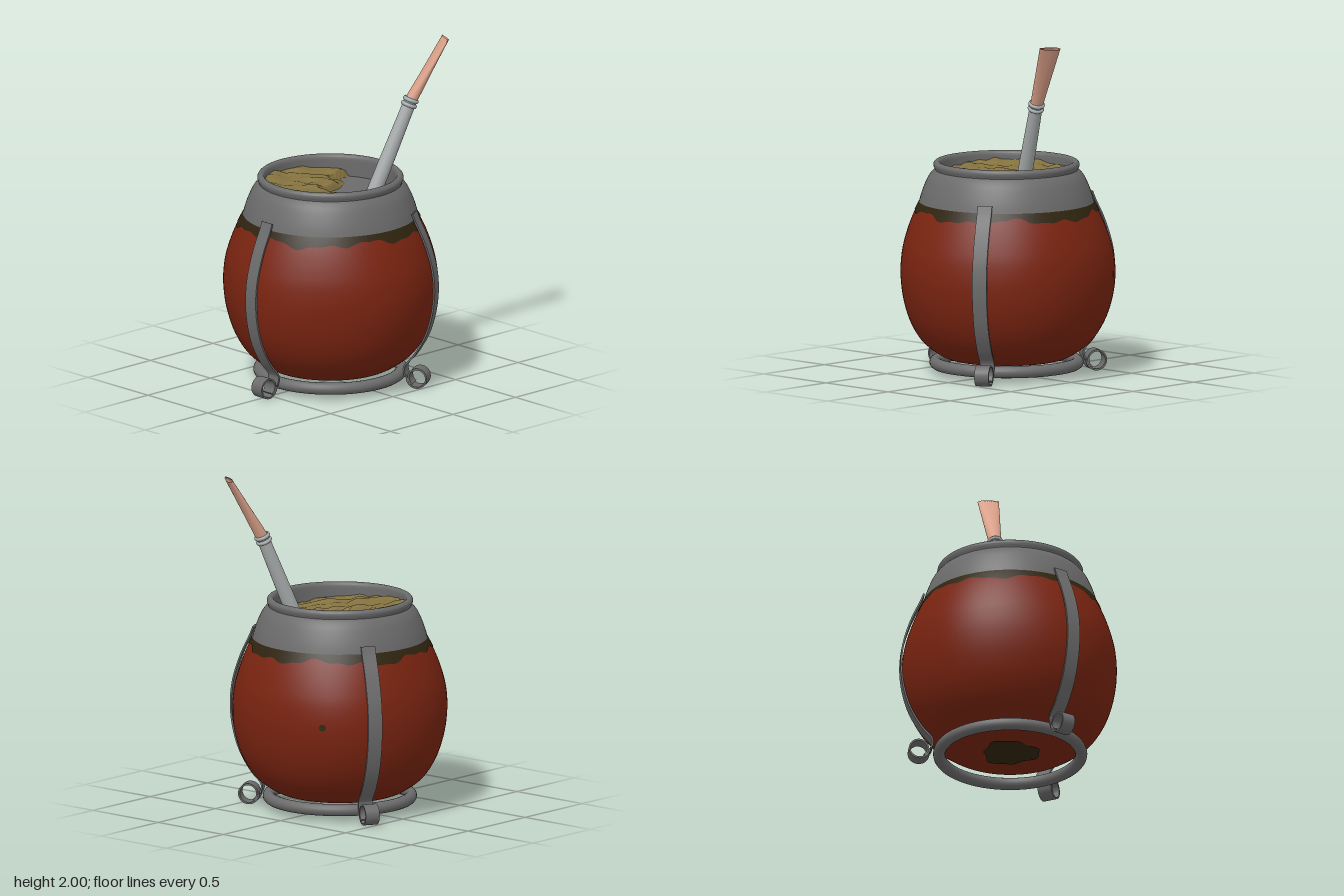
import * as THREE from 'three';
import { toCreasedNormals } from 'three/addons/utils/BufferGeometryUtils.js';
import { ParametricGeometry } from 'three/addons/geometries/ParametricGeometry.js';

const V2 = (x, y) => new THREE.Vector2(x, y);
const V3 = (x, y, z) => new THREE.Vector3(x, y, z);
const TAU = Math.PI * 2;
const mat = (name, color, side = THREE.FrontSide) => {
  const m = new THREE.MeshStandardMaterial({ color, side });
  m.name = name;
  return m;
};
const spline = (pts, n) => new THREE.SplineCurve(pts.map(p => V2(...p))).getPoints(n);

// Gourd outline (radius, height) from the underside to the neck
const outline = spline([[0.001, 0.085], [0.2, 0.085], [0.33, 0.095], [0.42, 0.14], [0.5, 0.21],
  [0.565, 0.32], [0.605, 0.45], [0.62, 0.58], [0.613, 0.7], [0.59, 0.8], [0.55, 0.91],
  [0.5, 1.01], [0.46, 1.06]], 72);

// Radius of the outline at a given height
function radiusAt(y) {
  const i = Math.max(1, outline.findIndex(p => p.x > 0.35 && p.y >= y));
  const a = outline[i - 1], b = outline[i];
  return a.x + (b.x - a.x) * (y - a.y) / (b.y - a.y);
}
// Slight natural unevenness of the shell
const lump = (t, y) => Math.sin(Math.PI * Math.min(1, Math.max(0, (y - 0.08) / 0.92))) *
  (0.005 * Math.sin(5 * t + 1) + 0.004 * Math.sin(3 * t + 4 * y));

// Flat metal strip with a path in the (radius, height) plane
function stripGeometry(path, width, thick) {
  const left = [], right = [];
  path.forEach((p, i) => {
    const a = path[Math.max(0, i - 1)], b = path[Math.min(path.length - 1, i + 1)];
    const n = V2(a.y - b.y, b.x - a.x).normalize().multiplyScalar(thick / 2);
    left.push(p.clone().add(n));
    right.push(p.clone().sub(n));
  });
  const shape = new THREE.Shape([...left, ...right.reverse()]);
  const g = new THREE.ExtrudeGeometry(shape, { depth: width, bevelEnabled: false });
  g.translate(0, 0, -width / 2).rotateY(-Math.PI / 2);
  return toCreasedNormals(g, 0.7);
}

export function createModel() {
  const model = new THREE.Group();
  model.name = 'gourdCup';
  const body = new THREE.Group();
  body.name = 'cup';
  body.position.z = 0.02;
  model.add(body);

  const shellRed = mat('shell red', 0x7a2410);
  const shellDark = mat('dark shell', 0x2f240f, THREE.DoubleSide);
  const steel = mat('steel', 0x6b6b6b);
  const silver = mat('silver', 0xa9adad);
  const copper = mat('copper', 0xdba088, THREE.DoubleSide);
  const herb = mat('herb', 0x84723f);

  const add = (name, geometry, material, parent = body) => {
    const m = new THREE.Mesh(geometry, material);
    m.name = name;
    parent.add(m);
    return m;
  };

  // Gourd shell
  add('gourd', new ParametricGeometry((u, v, out) => {
    const t = u * TAU, p = outline[Math.round(v * 72)] ;
    const q = outline[Math.min(72, Math.floor(v * 72) + 1)], f = v * 72 - Math.floor(v * 72);
    const a = outline[Math.floor(v * 72)];
    const y = f ? a.y + (q.y - a.y) * f : p.y;
    const r = (f ? a.x + (q.x - a.x) * f : p.x) + lump(t, y);
    out.set(r * Math.sin(t), y, r * Math.cos(t));
  }, 96, 72), shellRed);

  // Ragged dark band under the collar
  add('darkBand', new ParametricGeometry((u, v, out) => {
    const t = u * TAU;
    const low = 0.958 + 0.012 * Math.sin(5 * t + 2) + 0.01 * Math.sin(11 * t) + 0.006 * Math.sin(23 * t + 1);
    const y = low + (1.008 - low) * v;
    const r = radiusAt(y) + lump(t, y) + 0.004;
    out.set(r * Math.sin(t), y, r * Math.cos(t));
  }, 140, 4), shellDark);

  // Dark patch underneath and a small blemish on the back
  const patch = [];
  for (let i = 0; i < 40; i++) {
    const t = i / 40 * TAU, r = 0.16 + 0.015 * Math.sin(3 * t) + 0.01 * Math.sin(7 * t + 1);
    patch.push(V2(r * Math.cos(t), r * Math.sin(t)));
  }
  add('underPatch', new THREE.ShapeGeometry(new THREE.Shape(patch)).rotateX(Math.PI / 2), shellDark)
    .position.y = 0.078;
  const spotAngle = 212 / 180 * Math.PI, spotR = radiusAt(0.6) + lump(spotAngle, 0.6) + 0.003;
  const spot = add('blemish', new THREE.CircleGeometry(0.02, 12), shellDark);
  spot.position.set(spotR * Math.sin(spotAngle), 0.6, spotR * Math.cos(spotAngle));
  spot.rotation.y = spotAngle;

  // Metal collar with a rolled lip and inner wall
  const collar = [V2(0.48, 1.002), ...spline([[0.506, 1.002], [0.493, 1.05], [0.475, 1.1],
    [0.452, 1.15], [0.43, 1.18], [0.414, 1.195]], 20),
  ...spline([[0.414, 1.2], [0.421, 1.215], [0.42, 1.232], [0.408, 1.244], [0.394, 1.244],
    [0.383, 1.232], [0.38, 1.2], [0.38, 1.06]], 28)];
  add('collar', toCreasedNormals(new THREE.LatheGeometry(collar, 96), 0.6), steel);

  // Floor inside the collar
  const floorY = 1.12;
  add('innerFloor', new THREE.CircleGeometry(0.382, 64).rotateX(-Math.PI / 2), steel).position.y = floorY;

  // Heaped herb, sinking under the floor along a ragged hollow at the back
  const edge = [[-0.4, -0.5], [-0.21, -0.42], [-0.18, -0.23], [-0.08, -0.2], [-0.05, -0.12],
    [-0.03, -0.02], [0.04, 0.01], [0.1, -0.05], [0.16, -0.11], [0.22, -0.15], [0.28, -0.22], [0.4, -0.4]];
  const edgeZ = x => {
    const i = Math.max(1, edge.findIndex(e => e[0] >= x));
    const [x0, z0] = edge[i - 1], [x1, z1] = edge[i];
    return z0 + (z1 - z0) * (x - x0) / (x1 - x0);
  };
  add('herbHeap', new ParametricGeometry((u, v, out) => {
    const r = 0.381 * (1 - v), x = r * Math.sin(u * TAU), z = r * Math.cos(u * TAU);
    const d = z - edgeZ(x) + 0.012 * Math.sin(60 * x + 20 * z) + 0.008 * Math.sin(95 * x);
    const rise = THREE.MathUtils.smoothstep(d, -0.03, 0.12);
    const rough = 0.006 * Math.sin(23 * x + 9 * z + 2 * Math.sin(17 * z)) +
      0.005 * Math.sin(31 * z - 14 * x + 2 * Math.sin(26 * x)) + 0.0025 * Math.sin(60 * x + 47 * z);
    out.set(x, floorY - 0.008 + rise * (0.052 + 0.06 * (z - x) + rough), z);
  }, 120, 50), herb);

  // Base ring
  add('baseRing', new THREE.TorusGeometry(0.41, 0.035, 16, 80).rotateX(Math.PI / 2), steel)
    .position.y = 0.07;

  // Three straps, each ending in a scroll foot
  const strapPath = spline([[0.503, 1.05], [0.525, 0.995], [0.567, 0.905], [0.604, 0.8], [0.627, 0.7],
    [0.634, 0.58], [0.619, 0.45], [0.58, 0.32], [0.515, 0.205], [0.46, 0.14], [0.452, 0.105], [0.463, 0.07]], 60);
  const scrollPath = [];
  for (let i = 0; i <= 44; i++) {
    const a = Math.PI * (1 + i / 44 * 2.3), r = 0.061 - 0.012 * i / 44;
    scrollPath.push(V2(0.53 + r * Math.cos(a), 0.067 + r * Math.sin(a)));
  }
  const strapGeo = stripGeometry(strapPath, 0.085, 0.01);
  const scrollGeo = stripGeometry(scrollPath, 0.085, 0.01);
  for (let i = 0; i < 3; i++) {
    const leg = new THREE.Group();
    leg.name = 'strap' + (i + 1);
    leg.rotation.y = i * TAU / 3;
    add('strapBand', strapGeo, steel, leg);
    add('scrollFoot', scrollGeo, steel, leg);
    body.add(leg);
  }

  // Drinking straw: silver stem, joint rings and flattened mouthpiece
  const straw = new THREE.Group();
  straw.name = 'straw';
  model.add(straw);
  const foot = V3(0.105, 1.05, -0.195), joint = V3(0.205, 1.63, -0.42), tip = V3(0.294, 1.995, -0.618);
  const up = V3(0, 1, 0);
  const stemDir = joint.clone().sub(foot), length = stemDir.length();
  stemDir.normalize();
  const stem = new THREE.Group();
  stem.name = 'stem';
  stem.position.copy(foot);
  stem.quaternion.setFromUnitVectors(up, stemDir);
  straw.add(stem);
  const profile = [V2(0.044, 0), V2(0.043, length * 0.4), V2(0.038, length * 0.9), V2(0.038, length + 0.03)];
  add('stemTube', new THREE.LatheGeometry(profile, 32), silver, stem);
  [-0.018, 0.012].forEach(h => add('jointRing',
    new THREE.TorusGeometry(0.036, 0.012, 12, 32).rotateX(Math.PI / 2), silver, stem).position.y = length + h);

  const axis = tip.clone().sub(joint).normalize();
  const wide = V3(0.85, 0, 0.53);
  wide.addScaledVector(axis, -wide.dot(axis)).normalize();
  const thin = axis.clone().cross(wide);
  add('mouthpiece', new ParametricGeometry((u, v, out) => {
    const a = 0.036 + 0.026 * v, b = 0.036 - 0.021 * v;
    out.lerpVectors(joint, tip, v)
      .addScaledVector(wide, a * Math.cos(u * TAU))
      .addScaledVector(thin, b * Math.sin(u * TAU));
    out.y = Math.min(out.y, 2);
  }, 32, 16), copper, straw);

  return model;
}
